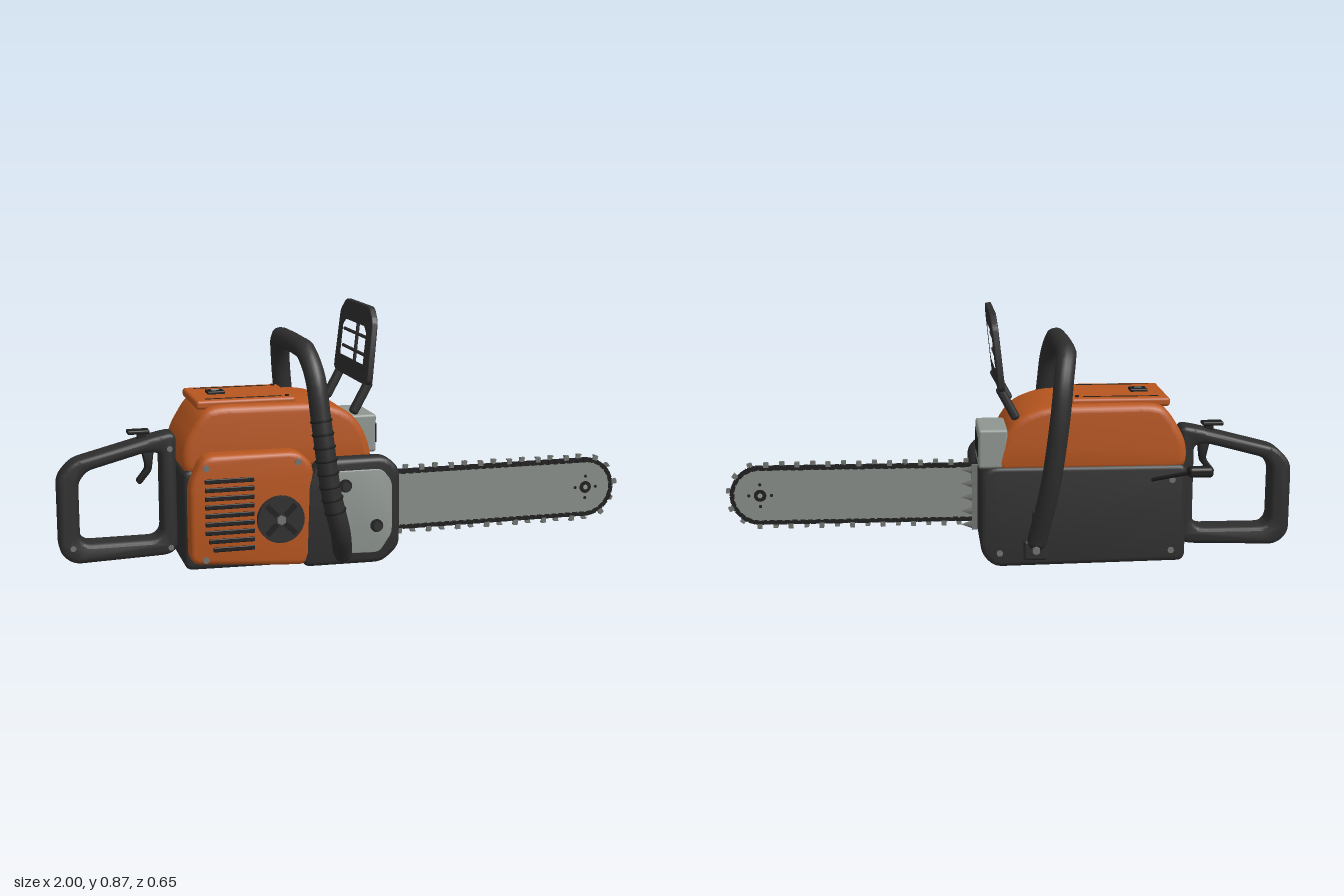
import * as THREE from 'three';
import { mergeGeometries, toCreasedNormals } from 'three/addons/utils/BufferGeometryUtils.js';
import { RoundedBoxGeometry } from 'three/addons/geometries/RoundedBoxGeometry.js';

const mat = (name, color) => Object.assign(new THREE.MeshStandardMaterial({ color }), { name });
const V = (x, y, z) => new THREE.Vector3(x, y, z);

// Closed outline with rounded corners
function outline(pts, r, Type = THREE.Shape) {
  const s = new Type(), n = pts.length;
  const p = pts.map(([x, y]) => new THREE.Vector2(x, y));
  for (let i = 0; i < n; i++) {
    const c = p[i], a = p[(i + n - 1) % n], b = p[(i + 1) % n];
    const toward = (q) => c.clone().add(q.clone().sub(c).setLength(Math.min(r, q.distanceTo(c) * 0.45)));
    const s0 = toward(a), s1 = toward(b);
    if (i === 0) s.moveTo(s0.x, s0.y); else s.lineTo(s0.x, s0.y);
    s.quadraticCurveTo(c.x, c.y, s1.x, s1.y);
  }
  s.closePath();
  return s;
}

// Shape extruded from z0 to z1 with rounded edges
function slab(shape, z0, z1, bevel = 0.01) {
  const g = new THREE.ExtrudeGeometry(shape, {
    depth: z1 - z0 - 2 * bevel, bevelEnabled: bevel > 0, bevelThickness: bevel,
    bevelSize: bevel, bevelOffset: -bevel, bevelSegments: 3, curveSegments: 8,
  });
  g.translate(0, 0, z0 + bevel);
  return toCreasedNormals(g, 0.6);
}

export function createModel() {
  const root = new THREE.Group();
  root.name = 'chainsaw';
  const orange = mat('orange plastic', 0xb8561f);
  const dark = mat('dark plastic', 0x2e2e2e);
  const black = mat('black rubber', 0x1e1e1e);
  const steel = mat('bar steel', 0x878c87);
  const alloy = mat('light alloy', 0x8f9691);
  const chainSteel = mat('chain steel', 0x70736f);

  const add = (name, geo, material, parent = root) => {
    const m = new THREE.Mesh(geo, material);
    m.name = name;
    parent.add(m);
    return m;
  };
  const box = (name, m, size, pos, r = 0, parent = root) => {
    const mesh = add(name, r ? new RoundedBoxGeometry(...size, 3, r) : new THREE.BoxGeometry(...size), m, parent);
    mesh.position.set(...pos);
    return mesh;
  };
  // Cylinder facing +z
  const disc = (name, m, r, x, y, z, depth, sides = 20) => {
    const mesh = add(name, new THREE.CylinderGeometry(r, r, depth, sides).rotateX(Math.PI / 2), m);
    mesh.position.set(x, y, z);
    return mesh;
  };
  const rod = (name, m, a, b, r, parent = root) => {
    const mesh = add(name, new THREE.CylinderGeometry(r, r, a.distanceTo(b), 10), m, parent);
    mesh.position.copy(a).lerp(b, 0.5);
    mesh.quaternion.setFromUnitVectors(V(0, 1, 0), b.clone().sub(a).normalize());
    return mesh;
  };

  // Engine housing
  add('lowerBody', slab(outline([[-0.6, 0.01], [0.06, 0], [0.105, 0.05], [0.105, 0.32], [0.07, 0.352], [-0.6, 0.352]], 0.03),
    -0.205, 0.175, 0.015), dark);
  add('upperBody', slab(outline([[-0.6, 0.33], [-0.6, 0.43], [-0.53, 0.545], [-0.48, 0.562], [-0.12, 0.558], [-0.02, 0.52],
    [0.035, 0.44], [0.06, 0.33]], 0.05), -0.2, 0.168, 0.025), orange);

  // Air filter lid
  box('lid', orange, [0.34, 0.03, 0.29], [-0.375, 0.561, -0.015], 0.01);
  box('lidKnob', black, [0.06, 0.012, 0.055], [-0.455, 0.58, -0.018], 0.004);
  box('lidKnobSlot', alloy, [0.025, 0.006, 0.01], [-0.455, 0.586, -0.018]);
  for (const z of [-0.125, 0.1]) {
    box('lidSeam', black, [0.26, 0.004, 0.005], [-0.38, 0.576, z]);
    rod('lidScrew', black, V(-0.23, 0.57, z), V(-0.23, 0.581, z), 0.007);
  }

  // Starter cover with vents and hub
  add('starterCover', slab(outline([[-0.59, 0.045], [-0.2, 0.015], [-0.17, 0.06], [-0.17, 0.36], [-0.22, 0.41], [-0.54, 0.41],
    [-0.59, 0.31]], 0.035), 0.15, 0.235, 0.018), orange);
  for (let i = 0; i < 9; i++) {
    const w = i < 2 ? 0.14 + i * 0.015 : 0.165;
    box('vent', black, [w, 0.016, 0.008], [-0.375 - w / 2, 0.093 + i * 0.029, 0.235], 0.003);
  }
  disc('starterHub', dark, 0.08, -0.288, 0.185, 0.242, 0.022, 28);
  for (let i = 0; i < 4; i++) {
    const spoke = box('hubSpoke', black, [0.05, 0.018, 0.005], [-0.288, 0.185, 0.254]);
    spoke.rotation.z = i * Math.PI / 2 + Math.PI / 4;
    spoke.translateX(0.045);
  }
  disc('hubBolt', chainSteel, 0.016, -0.288, 0.185, 0.257, 0.01, 6);
  for (const [x, y] of [[-0.535, 0.37], [-0.225, 0.375], [-0.54, 0.06]]) disc('coverScrew', chainSteel, 0.011, x, y, 0.235, 0.008, 12);

  // Clutch cover, metal plate and bar nuts
  add('clutchCover', slab(outline([[-0.21, 0.008], [0.07, 0.005], [0.132, 0.06], [0.132, 0.33], [0.085, 0.375], [-0.15, 0.375],
    [-0.2, 0.29]], 0.03), 0.165, 0.236, 0.018), dark);
  add('clutchPlate', slab(outline([[-0.1, 0.05], [0.055, 0.045], [0.1, 0.11], [0.1, 0.29], [0.065, 0.335], [-0.1, 0.335]], 0.02),
    0.234, 0.243, 0.002), alloy);
  for (const [x, y] of [[-0.065, 0.285], [0.045, 0.14]]) {
    disc('nutWasher', black, 0.022, x, y, 0.246, 0.008);
    disc('barNut', dark, 0.016, x, y, 0.256, 0.02, 6);
  }

  // Guide bar
  const bx = 0.877, by = 0.19, br = 0.098, bz = 0.1;
  const barShape = new THREE.Shape();
  barShape.moveTo(0.02, by - br);
  barShape.lineTo(bx, by - br);
  barShape.absarc(bx, by, br, -Math.PI / 2, Math.PI / 2, false);
  barShape.lineTo(0.02, by + br);
  barShape.closePath();
  add('guideBar', slab(barShape, bz - 0.007, bz + 0.007, 0), steel);
  disc('noseRivet', black, 0.022, bx, by, bz, 0.018);
  disc('noseRivetCore', alloy, 0.009, bx, by, bz, 0.022, 10);
  for (let i = 0; i < 4; i++) {
    const a = i * Math.PI / 2;
    disc('noseHole', black, 0.006, bx + 0.04 * Math.cos(a), by + 0.04 * Math.sin(a), bz, 0.016, 8);
  }

  // Chain links and cutters placed along the bar edge
  const run = bx - 0.1, arc = Math.PI * br, total = 2 * run + arc, links = 68;
  const linkGeos = [], cutterGeos = [];
  const place = (g, s) => {
    let x, y, a;
    if (s < run) [x, y, a] = [0.1 + s, by - br, -Math.PI / 2];
    else if (s < run + arc) {
      a = (s - run) / br - Math.PI / 2;
      [x, y] = [bx + br * Math.cos(a), by + br * Math.sin(a)];
    } else [x, y, a] = [bx - (s - run - arc), by + br, Math.PI / 2];
    return g.rotateZ(a - Math.PI / 2).translate(x, y, bz);
  };
  for (let i = 0; i < links; i++) {
    const s = (i + 0.5) * total / links;
    for (const side of [-1, 1])
      linkGeos.push(place(new THREE.BoxGeometry(0.026, 0.013, 0.004).translate(0, 0.002, side * 0.009), s));
    linkGeos.push(place(new THREE.BoxGeometry(0.018, 0.014, 0.016), s + total / links / 2 - 0.001));
    if (i % 2 === 0) {
      const side = i % 4 ? 1 : -1;
      cutterGeos.push(place(new THREE.BoxGeometry(0.018, 0.016, 0.006).translate(0, 0.013, side * 0.01), s));
      cutterGeos.push(place(new THREE.BoxGeometry(0.016, 0.005, 0.016).translate(0, 0.021, side * 0.006), s));
    }
  }
  add('chainLinks', mergeGeometries(linkGeos), black);
  add('chainCutters', mergeGeometries(cutterGeos), chainSteel);

  // Bumper spikes
  box('spikePlate', chainSteel, [0.03, 0.24, 0.006], [0.11, 0.19, 0.023]);
  for (let i = 0; i < 5; i++) {
    const spike = add('bumperSpike', new THREE.ConeGeometry(0.018, 0.05, 4).scale(1, 1, 0.25).rotateZ(-Math.PI / 2), chainSteel);
    spike.position.set(0.14, 0.09 + i * 0.05, 0.023);
  }

  // Muffler
  box('muffler', alloy, [0.1, 0.135, 0.214], [0.062, 0.413, -0.091], 0.01);
  for (let i = 0; i < 4; i++)
    box('mufflerSlot', black, [0.008, 0.07, 0.025], [0.11, 0.414, 0.002 - i * 0.052], 0.003);

  // Front handle and grip rings
  const path = new THREE.CatmullRomCurve3([
    V(-0.07, 0.05, 0.225), V(-0.09, 0.13, 0.276), V(-0.125, 0.27, 0.288), V(-0.157, 0.52, 0.277), V(-0.17, 0.66, 0.25),
    V(-0.183, 0.735, 0.18), V(-0.185, 0.742, 0.1), V(-0.185, 0.742, -0.12), V(-0.183, 0.735, -0.2), V(-0.17, 0.665, -0.26),
    V(-0.155, 0.53, -0.286), V(-0.125, 0.3, -0.274), V(-0.085, 0.1, -0.23)], false, 'centripetal');
  add('frontHandle', new THREE.TubeGeometry(path, 60, 0.034, 14, false), dark);
  for (const t of [0, 1]) {
    const cap = add('handleEnd', new THREE.SphereGeometry(0.034, 14, 8), dark);
    cap.position.copy(path.getPoint(t));
  }
  for (let i = 0; i < 8; i++) {
    const t = 0.102 + i * 0.0245;
    const ring = add('gripRing', new THREE.TorusGeometry(0.034, 0.0045, 6, 18), black);
    ring.position.copy(path.getPointAt(t));
    ring.quaternion.setFromUnitVectors(V(0, 0, 1), path.getTangentAt(t));
  }
  box('handleMount', dark, [0.08, 0.07, 0.035], [-0.08, 0.065, -0.217], 0.01);
  disc('mountBolt', chainSteel, 0.014, -0.08, 0.075, -0.263, 0.015, 6);
  box('mountRib', dark, [0.06, 0.04, 0.02], [-0.1, 0.18, -0.21], 0.006);

  // Hand guard, leaning forward on two arms
  const guard = new THREE.Group();
  guard.name = 'handGuard';
  root.add(guard);
  const flip = ([z, y]) => [-z, y - 0.61];
  const frame = outline([[0.196, 0.62], [0.182, 0.83], [0.13, 0.874], [-0.16, 0.874], [-0.217, 0.83], [-0.23, 0.62],
    [-0.2, 0.61], [0.17, 0.61]].map(flip), 0.02);
  frame.holes.push(outline([[0.133, 0.67], [0.133, 0.785], [0.1, 0.808], [-0.13, 0.808], [-0.165, 0.785], [-0.165, 0.67]]
    .map(flip), 0.012, THREE.Path));
  add('guardFrame', slab(frame, -0.011, 0.011, 0.005).rotateY(Math.PI / 2), dark, guard);
  for (const y of [0.095, 0.155]) rod('guardBar', dark, V(0, y, 0.14), V(0, y, -0.17), 0.006, guard);
  rod('guardPost', dark, V(0, 0.055, -0.012), V(0, 0.2, -0.012), 0.006, guard);
  guard.position.set(0.032, 0.61, 0);
  guard.rotation.z = -0.11;
  for (const z of [0.162, -0.187]) {
    const arm = box('guardArm', dark, [0.03, 0.125, 0.036], [0.012, 0.57, z], 0.012);
    arm.rotation.z = -0.5;
  }

  // Rear handle loop
  const loop = outline([[-0.6, 0.458], [-0.67, 0.445], [-0.95, 0.372], [-1, 0.315], [-1, 0.06], [-0.955, 0.018], [-0.63, 0.028],
    [-0.6, 0.05]], 0.03);
  loop.holes.push(outline([[-0.652, 0.385], [-0.7, 0.39], [-0.9, 0.337], [-0.93, 0.3], [-0.93, 0.11], [-0.91, 0.086],
    [-0.675, 0.086], [-0.652, 0.11]], 0.02, THREE.Path));
  add('rearHandle', slab(loop, -0.067, 0.033, 0.016), dark);
  for (const [x, y] of [[-0.955, 0.075], [-0.625, 0.055], [-0.622, 0.4]]) disc('handleScrew', chainSteel, 0.01, x, y, 0.032, 0.008, 10);
  add('trigger', slab(outline([[-0.67, 0.4], [-0.715, 0.4], [-0.7, 0.33], [-0.735, 0.285], [-0.72, 0.272], [-0.68, 0.32]], 0.012),
    -0.032, -0.002, 0.004), black);
  box('throttleLock', black, [0.075, 0.014, 0.045], [-0.722, 0.456, -0.017], 0.005);
  box('throttleLockStem', black, [0.03, 0.05, 0.02], [-0.71, 0.432, -0.017]);

  // Choke lever
  rod('chokeRod', black, V(-0.48, 0.3, -0.2), V(-0.61, 0.342, -0.272), 0.007);
  box('chokeKnob', black, [0.085, 0.035, 0.045], [-0.63, 0.345, -0.28], 0.012);
  for (const [x, y] of [[-0.55, 0.05], [-0.55, 0.3], [0.04, 0.05]]) disc('bodyScrew', chainSteel, 0.011, x, y, -0.205, 0.008, 12);

  return root;
}
